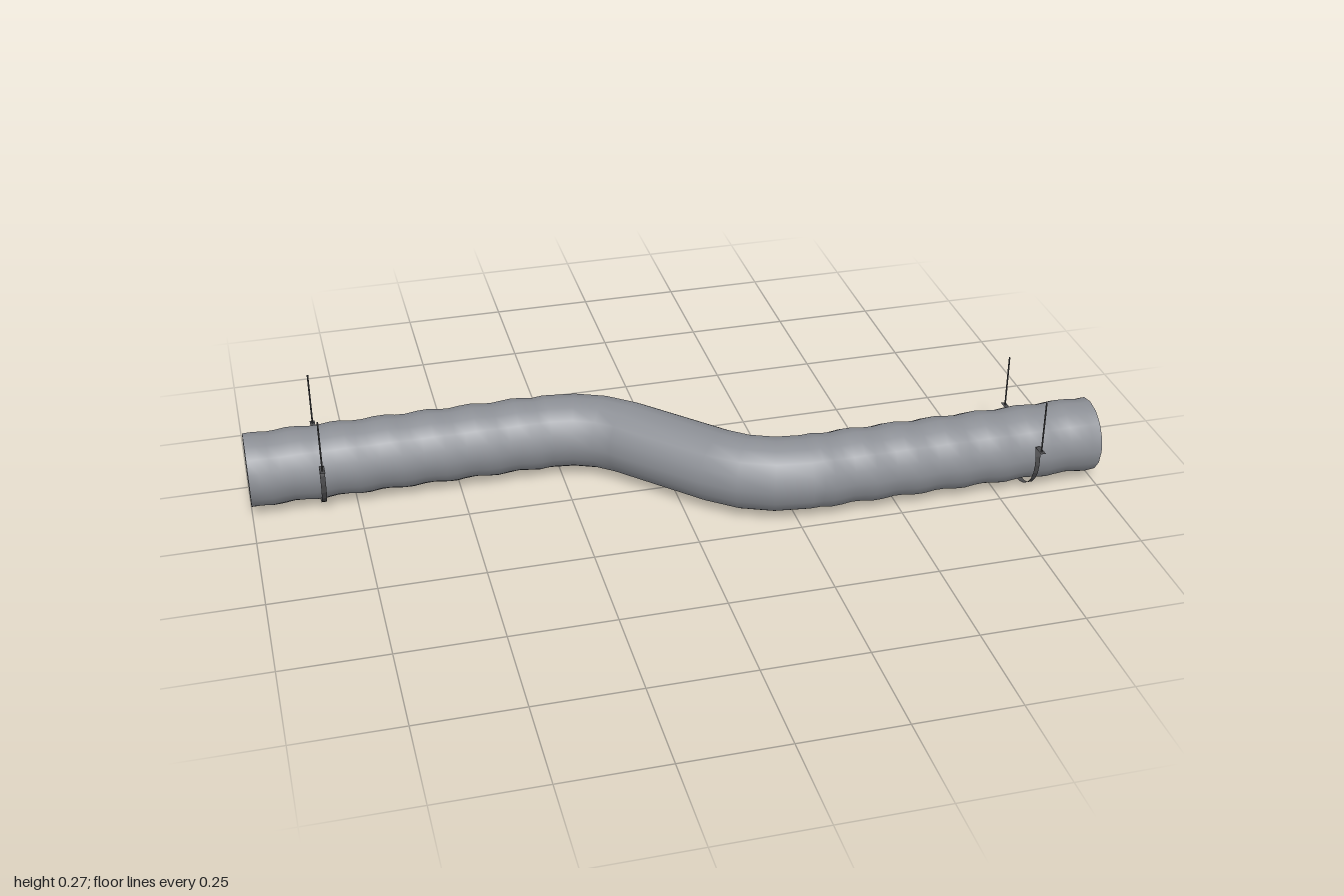
import * as THREE from 'three';

const R = 0.089, AXIS_Y = 0.1, OFFSET = 0.167, SIDES = 16;

// Centreline stations {x, z, a}: two straight runs joined by a 45 degree offset
function centreline() {
  const half = [];
  const start = -0.277, bendR = 0.266, steps = 28;
  for (let i = 0; i <= steps; i++) {
    half.push({ x: -1 + (1 + start) * i / steps, z: -OFFSET, a: 0 });
  }
  for (let i = 1; i <= 3; i++) {
    const a = i * Math.PI / 12;
    half.push({ x: start + bendR * Math.sin(a), z: -OFFSET + bendR * (1 - Math.cos(a)), a });
  }
  const mirrored = half.map(p => ({ x: -p.x, z: -p.z, a: p.a })).reverse();
  return [...half, ...mirrored];
}

// Round duct with a shallow spiral ridge on its straight runs
function ductGeometry() {
  const path = centreline();
  const pos = [], index = [];
  path.forEach((p, i) => {
    const d = Math.abs(p.x);
    const ripple = d > 0.3 && d < 0.98 ? 0.0025 : 0;
    for (let j = 0; j < SIDES; j++) {
      const f = j / SIDES * Math.PI * 2;
      const r = R + ripple * Math.cos(p.x * Math.PI * 2 / 0.107 + f);
      const s = r * Math.cos(f);
      pos.push(p.x - s * Math.sin(p.a), AXIS_Y + r * Math.sin(f), p.z + s * Math.cos(p.a));
      if (i < path.length - 1) {
        const k = (j + 1) % SIDES, a = i * SIDES, b = a + SIDES;
        index.push(a + j, b + j, a + k, b + j, b + k, a + k);
      }
    }
  });
  const g = new THREE.BufferGeometry();
  g.setAttribute('position', new THREE.Float32BufferAttribute(pos, 3));
  g.setIndex(index);
  g.computeVertexNormals();
  return g;
}

// Thin sling under the duct with a flat ear on each side
function strapGeometry() {
  const profile = [[-0.125, 0.04]];
  const r = 0.099, a0 = Math.asin(0.04 / r), n = 16;
  for (let i = 0; i <= n; i++) {
    const a = Math.PI - a0 + (Math.PI + 2 * a0) * i / n;
    profile.push([r * Math.cos(a), r * Math.sin(a)]);
  }
  profile.push([0.125, 0.04]);
  const g = new THREE.PlaneGeometry(1, 1, profile.length - 1, 1).toNonIndexed();
  const p = g.attributes.position;
  for (let i = 0; i < p.count; i++) {
    const [z, y] = profile[Math.round((p.getX(i) + 0.5) * (profile.length - 1))];
    p.setXYZ(i, Math.sign(p.getY(i)) * 0.006, y, z);
  }
  g.computeVertexNormals();
  return g;
}

export function createModel() {
  const model = new THREE.Group();
  model.name = 'offsetDuct';
  const steel = new THREE.MeshStandardMaterial({ name: 'galvanisedGrey', color: 0x8c8f95 });
  const dark = new THREE.MeshStandardMaterial({ name: 'darkSteel', color: 0x4c4c4e, side: THREE.DoubleSide });

  const add = (parent, name, geometry, material, x = 0, y = 0, z = 0) => {
    const mesh = new THREE.Mesh(geometry, material);
    mesh.name = name;
    mesh.position.set(x, y, z);
    parent.add(mesh);
    return mesh;
  };

  add(model, 'duct', ductGeometry(), steel);

  const cap = new THREE.CircleGeometry(R, SIDES);
  const strap = strapGeometry();
  const rod = new THREE.CylinderGeometry(0.002, 0.002, 0.133, 8);
  for (const side of [-1, 1]) {
    // Closed duct end
    const end = add(model, side > 0 ? 'leftEnd' : 'rightEnd', cap, steel, side, AXIS_Y, side * OFFSET);
    end.rotation.y = side * Math.PI / 2;

    // Hanger: sling and two threaded rods
    const hanger = new THREE.Group();
    hanger.name = side > 0 ? 'leftHanger' : 'rightHanger';
    hanger.position.set(side * 0.83, AXIS_Y, side * OFFSET);
    add(hanger, 'strap', strap, dark);
    for (const z of [-0.113, 0.113]) add(hanger, 'rod', rod, dark, 0, 0.1065, z);
    model.add(hanger);
  }
  return model;
}
